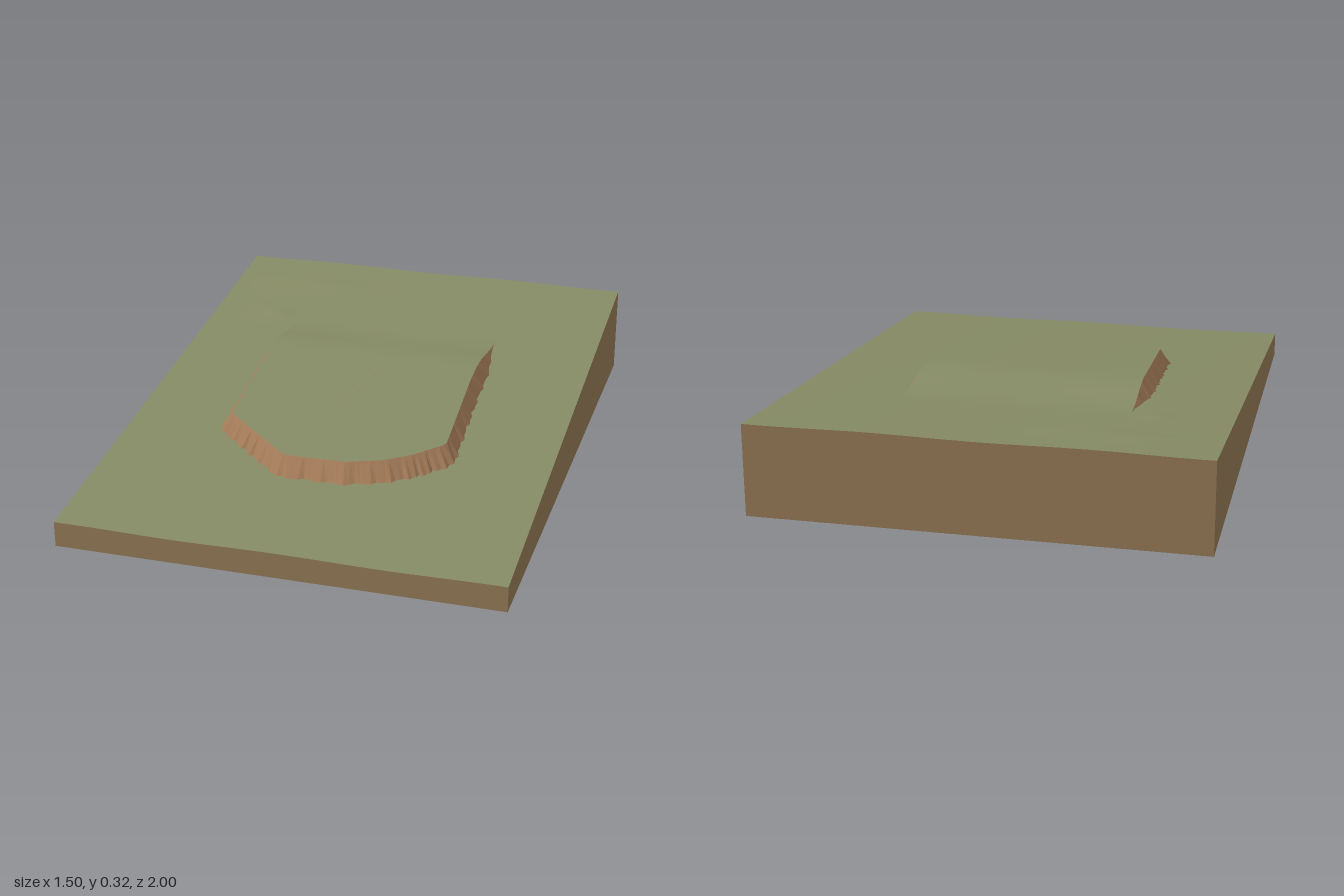
import * as THREE from 'three';

const HALF_W = 0.75, HALF_L = 1, PER_SIDE = 44, RINGS = 26, RISE = 0.057;

// Sloping ground with soft ripples and a faint swell near the uphill edge
const ground = (x, z) => 0.2 - 0.115 * z + 0.002 * Math.sin(9 * x + 1.5 * z)
  + 0.005 * Math.exp(-(((x + 0.4) / 0.2) ** 2) - ((z + 0.8) / 0.06) ** 2)
  + 0.007 * Math.exp(-(((x + 0.5) / 0.05) ** 2) - ((z + 0.53) / 0.03) ** 2);
// Share of the full lobe thickness: none uphill, all of it downhill
const swell = (z) => THREE.MathUtils.smoothstep(z, -0.5, -0.18);
const lobeHeight = (x, z) => ground(x, z) + RISE * swell(z);

// Upper edge of the slipped lobe, as x, z
const OUTLINE = [[-0.12, 0.53], [0.09, 0.53], [0.21, 0.49], [0.3, 0.43], [0.39, 0.34],
  [0.37, -0.1], [0.37, -0.5], [-0.41, -0.5], [-0.4, -0.1], [-0.385, 0.31]];

// Where the ray from the centre towards (dx, dz) meets the outline
function onOutline([dx, dz]) {
  for (let i = 0; i < OUTLINE.length; i++) {
    const [ax, az] = OUTLINE[i], [bx, bz] = OUTLINE[(i + 1) % OUTLINE.length];
    const ex = bx - ax, ez = bz - az, det = dx * ez - dz * ex;
    if (Math.abs(det) < 1e-9) continue;
    const t = (ax * ez - az * ex) / det, s = (ax * dz - az * dx) / det;
    if (t > 0 && s >= -1e-6 && s <= 1 + 1e-6) return [dx * t, dz * t];
  }
  return [dx * 0.5, dz * 0.5];
}

// Points around the rectangular edge of the block, counterclockwise from above
function borderLoop() {
  const corners = [[-HALF_W, HALF_L], [HALF_W, HALF_L], [HALF_W, -HALF_L], [-HALF_W, -HALF_L]];
  return corners.flatMap(([ax, az], k) => {
    const [bx, bz] = corners[(k + 1) % 4];
    return Array.from({ length: PER_SIDE }, (_, i) => {
      const t = i / PER_SIDE;
      return [ax + (bx - ax) * t, az + (bz - az) * t];
    });
  });
}

// Skin of quads over closed loops of [x, y, z], from the inner loop to the outer
function skin(name, loops, color, flatShading) {
  const n = loops[0].length, index = [];
  const same = (p, q) => Math.hypot(p[0] - q[0], p[1] - q[1], p[2] - q[2]) < 1e-6;
  for (let r = 0; r < loops.length - 1; r++) {
    for (let i = 0; i < n; i++) {
      const j = (i + 1) % n, a = r * n + i, a2 = r * n + j, b = a + n, b2 = a2 + n;
      if (!same(loops[r][i], loops[r + 1][i])) index.push(a, b, b2);
      if (!same(loops[r][j], loops[r + 1][j]) && !same(loops[r][i], loops[r][j])) index.push(a, b2, a2);
    }
  }
  const geometry = new THREE.BufferGeometry();
  geometry.setAttribute('position', new THREE.Float32BufferAttribute(loops.flat(2), 3));
  geometry.setIndex(index);
  geometry.computeVertexNormals();
  const mesh = new THREE.Mesh(geometry, new THREE.MeshStandardMaterial({ color, flatShading }));
  mesh.name = name;
  return mesh;
}

// Loops blending from one plan outline to another, lifted by a height rule
function blend(from, to, height) {
  return Array.from({ length: RINGS + 1 }, (_, r) => from.map(([x, z], i) => {
    const t = r / RINGS, px = x + (to[i][0] - x) * t, pz = z + (to[i][1] - z) * t;
    return [px, height(px, pz), pz];
  }));
}

export function createModel() {
  const group = new THREE.Group();
  group.name = 'slumpedSlope';
  const GRASS = 0x858a64, EARTH = 0x8f7553, SCARP = 0xa27a58;

  const border = borderLoop();
  const crest = border.map(onOutline);
  const centre = border.map(() => [0, 0]);
  // Foot of the scarp spreads outward, slightly ragged, and closes up uphill
  const foot = crest.map(([x, z], i) => {
    const k = 1 + swell(z) * (0.085 + 0.018 * Math.sin(i * 2.3) * Math.sin(i * 0.9));
    return [x * k, z * k];
  });
  const lift = (loop, height) => loop.map(([x, z]) => [x, height(x, z), z]);

  // Raised lobe, its broken edge and the surrounding slope
  group.add(skin('lobeTop', blend(centre, crest, lobeHeight), GRASS, false));
  group.add(skin('scarp', [lift(crest, lobeHeight), lift(foot, ground)], SCARP, true));
  group.add(skin('slope', blend(foot, border, ground), GRASS, false));

  // Earth walls and underside
  const floor = lift(border, () => 0);
  group.add(skin('walls', [lift(border, ground), floor], EARTH, true));
  group.add(skin('underside', [floor, lift(centre, () => 0)], EARTH, true));
  return group;
}
